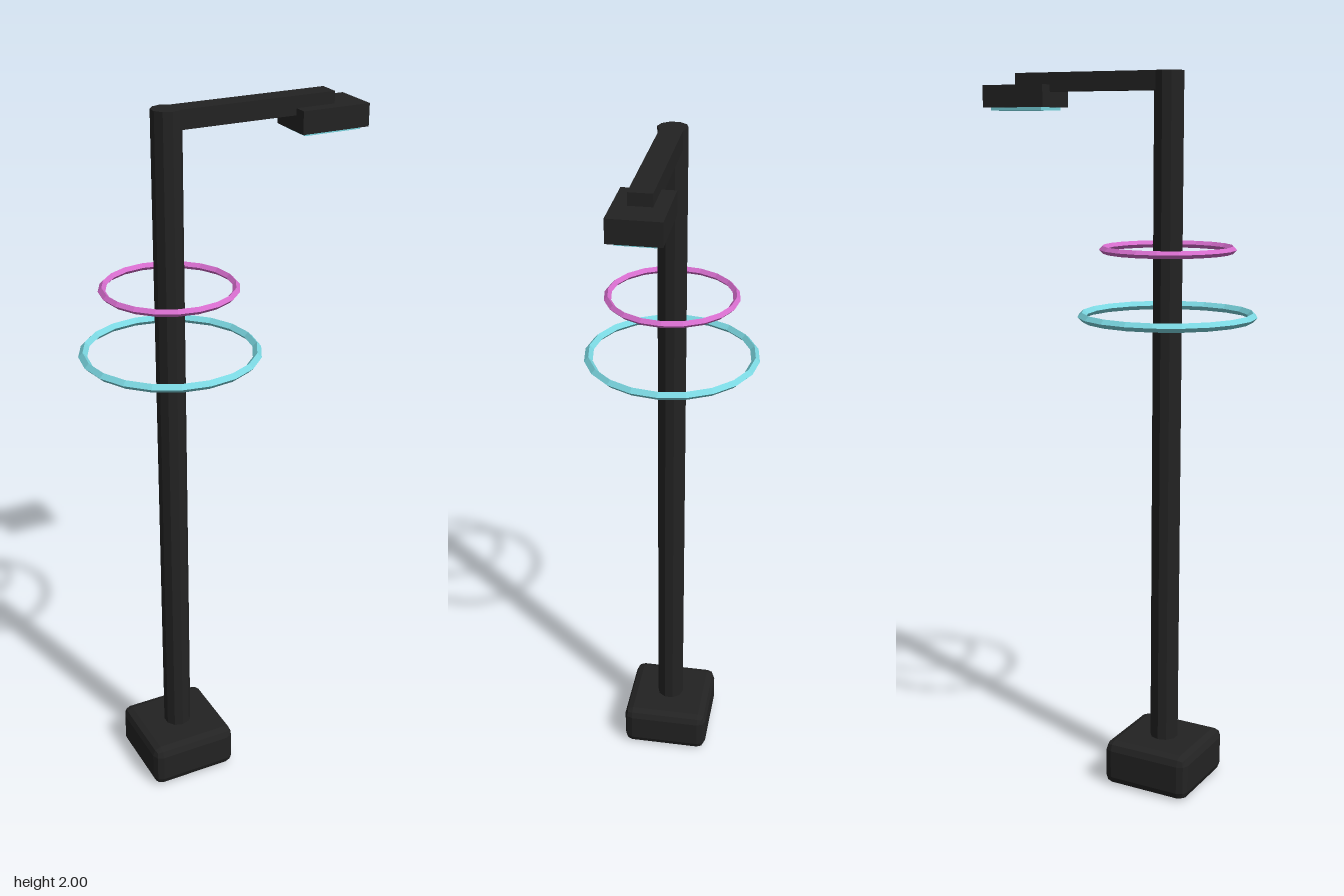
import * as THREE from 'three';
import { RoundedBoxGeometry } from 'three/addons/geometries/RoundedBoxGeometry.js';

export function createModel() {
  const model = new THREE.Group();
  model.name = 'streetLamp';

  const mat = (name, color) => {
    const m = new THREE.MeshStandardMaterial({ color, flatShading: true });
    m.name = name;
    return m;
  };
  const black = mat('black metal', 0x232323);
  const cyan = mat('cyan glow', 0x7ad6e0);
  const magenta = mat('magenta glow', 0xd46ccb);

  const add = (name, geometry, material, x, y, z = 0) => {
    const mesh = new THREE.Mesh(geometry, material);
    mesh.name = name;
    mesh.position.set(x, y, z);
    model.add(mesh);
    return mesh;
  };

  const poleX = -0.15;

  // Bevelled foot and faceted pole
  add('base', new RoundedBoxGeometry(0.26, 0.13, 0.26, 1, 0.025), black, poleX, 0.065);
  add('pole', new THREE.CylinderGeometry(0.04, 0.04, 1.9, 10), black, poleX, 1.05);

  // Arm reaching sideways to the lamp head
  add('arm', new THREE.BoxGeometry(0.462, 0.05, 0.06), black, 0.081, 1.975);
  add('lampHead', new THREE.BoxGeometry(0.195, 0.06, 0.134), black, 0.2975, 1.938);
  add('lightPanel', new THREE.BoxGeometry(0.165, 0.009, 0.1), cyan, 0.2975, 1.904);

  // Floating rings with a diamond section
  const ring = (name, radius, tube, material, y) => {
    const g = new THREE.TorusGeometry(radius, tube, 4, 20);
    g.rotateX(-Math.PI / 2);
    add(name, g, material, poleX, y);
  };
  ring('upperRing', 0.176, 0.01, magenta, 1.535);
  ring('lowerRing', 0.233, 0.012, cyan, 1.355);

  return model;
}
